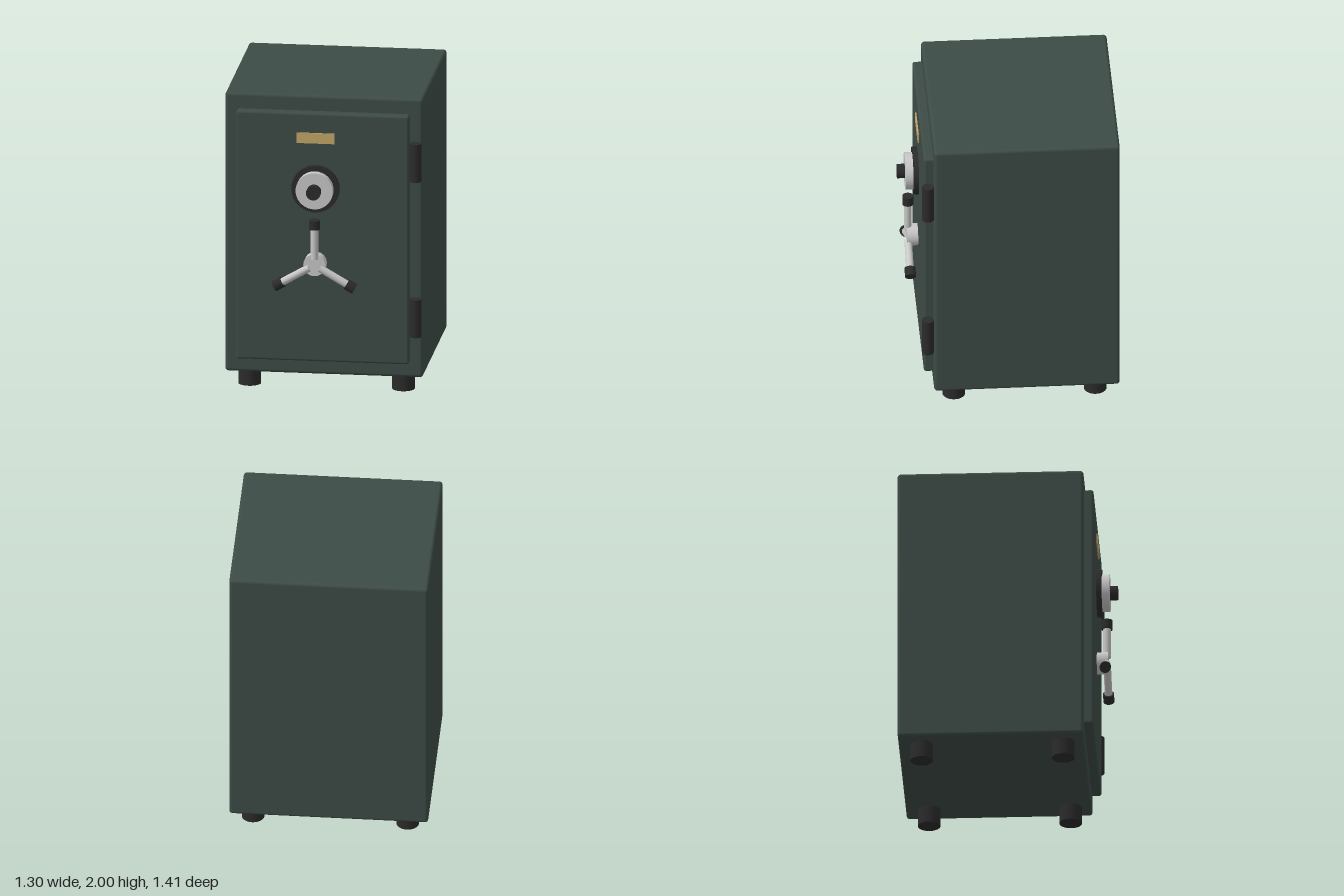
import * as THREE from 'three';
import { RoundedBoxGeometry } from 'three/addons/geometries/RoundedBoxGeometry.js';

const material = (name, color) => {
  const m = new THREE.MeshStandardMaterial({ color });
  m.name = name;
  return m;
};

export function createModel() {
  const green = material('dark green paint', 0x3d4b46);
  const black = material('black', 0x2b2b2b);
  const silver = material('silver', 0xc8c8c8);
  const brass = material('brass', 0xc4a668);
  const model = new THREE.Group();
  model.name = 'safe';

  const add = (parent, name, geometry, mat, x, y, z) => {
    const mesh = new THREE.Mesh(geometry, mat);
    mesh.name = name;
    mesh.position.set(x, y, z);
    parent.add(mesh);
    return mesh;
  };
  const cylinder = (r, h) => new THREE.CylinderGeometry(r, r, h, 40);
  // Disc facing the front, spanning z0 to z1
  const disc = (parent, name, r, mat, x, y, z0, z1) =>
    add(parent, name, cylinder(r, z1 - z0).rotateX(Math.PI / 2), mat, x, y, (z0 + z1) / 2);

  // Cabinet and raised door
  add(model, 'cabinet', new RoundedBoxGeometry(1.3, 1.887, 1.212, 4, 0.022), green, 0, 1.0565, -0.099);
  add(model, 'door', new RoundedBoxGeometry(1.134, 1.68, 0.12, 4, 0.016), green, -0.002, 1.056, 0.509);

  // Feet
  for (const x of [-0.505, 0.505])
    for (const z of [-0.553, 0.37])
      add(model, 'foot', cylinder(0.074, 0.13), black, x, 0.065, z);

  // Hinges
  for (const y of [0.53, 1.582])
    add(model, 'hinge', cylinder(0.039, 0.255), black, 0.608, y, 0.546);

  // Name plate
  add(model, 'plate', new THREE.BoxGeometry(0.248, 0.07, 0.009), brass, -0.045, 1.729, 0.5725);

  // Combination dial
  const dial = new THREE.Group();
  dial.name = 'dial';
  dial.position.set(-0.045, 1.392, 0);
  model.add(dial);
  disc(dial, 'dialRing', 0.157, black, 0, 0, 0.56, 0.603);
  disc(dial, 'dialFace', 0.122, silver, 0, 0, 0.6, 0.653);
  disc(dial, 'dialKnob', 0.047, black, 0, 0, 0.65, 0.705);

  // Three-spoke handle
  const handle = new THREE.Group();
  handle.name = 'handle';
  handle.position.set(-0.045, 0.888, 0);
  model.add(handle);
  disc(handle, 'handleHub', 0.073, silver, 0, 0, 0.56, 0.642);
  for (let i = 0; i < 3; i++) {
    const arm = new THREE.Group();
    arm.name = 'handleArm';
    arm.rotation.z = (i * Math.PI * 2) / 3;
    handle.add(arm);
    add(arm, 'spoke', cylinder(0.025, 0.215), silver, 0, 0.1475, 0.633);
    add(arm, 'grip', cylinder(0.036, 0.062), black, 0, 0.274, 0.633);
  }
  return model;
}
